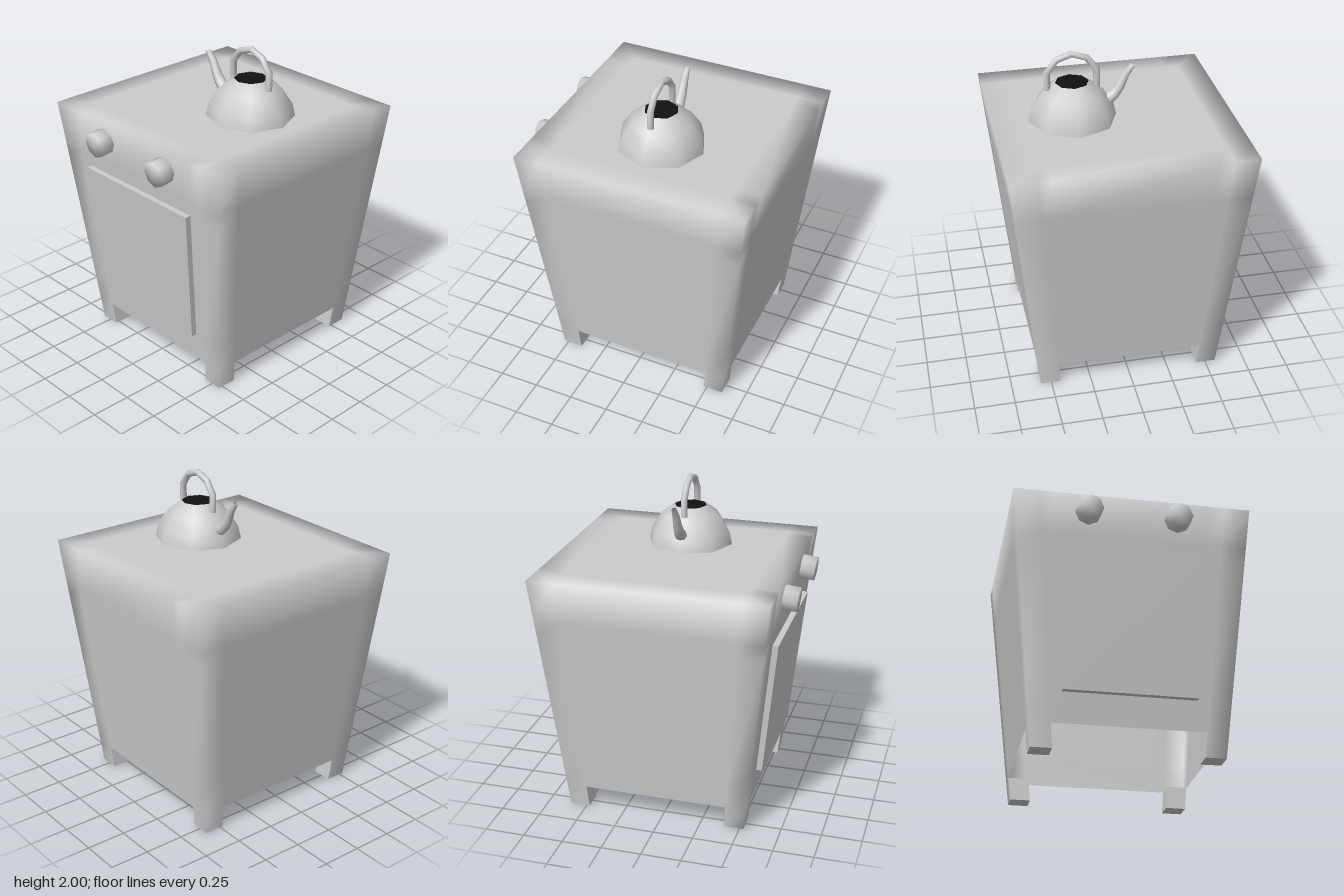
import * as THREE from 'three';
import { mergeVertices } from 'three/addons/utils/BufferGeometryUtils.js';

const grey = new THREE.MeshStandardMaterial({ color: 0xcccccc, side: THREE.DoubleSide });
const dark = new THREE.MeshStandardMaterial({ color: 0x111111, side: THREE.DoubleSide });
const CZ = -0.04;                 // depth centre of the stove
const TOP = 1.56, BELLY = 0.145;  // stove top and underside heights
const LEG = 0.78, DOOR = 0.66;    // fractions of the half width

// point on the flared stove: u, v in -1..1, y in units
const half = (y) => 0.565 + 0.104 * y;
const flare = (u, y, v) => [u * half(y), y, v * half(y) + CZ];
// quarter turns about the vertical axis
const turn = (u, v, k) => { for (let i = 0; i < k; i++) [u, v] = [v, -u]; return [u, v]; };

function addQuad(out, a, b, c, d) {
  out.push(...a, ...b, ...c, ...a, ...c, ...d);
}

function toGeometry(positions, smooth) {
  let g = new THREE.BufferGeometry();
  g.setAttribute('position', new THREE.Float32BufferAttribute(positions, 3));
  if (smooth) g = mergeVertices(g, 1e-4);
  g.computeVertexNormals();
  return g;
}

function add(parent, name, geometry, material = grey) {
  const mesh = new THREE.Mesh(geometry, material);
  mesh.name = name;
  parent.add(mesh);
  return mesh;
}

// smooth shell: four walls, open between the legs and behind the door, plus the top
function bodyGeometry() {
  const out = [];
  const us = [-1, -LEG, -DOOR, DOOR, LEG, 1];
  const ys = [0, BELLY, 0.33, 1.205, 1.3, TOP];
  for (let i = 0; i < 5; i++) {
    for (let j = 0; j < 5; j++) {
      for (let k = 0; k < 4; k++) {
        if (j === 0 && i > 0 && i < 4) continue;
        if (k === 0 && i === 2 && j === 2) continue;
        const p = (s, y) => { const [u, v] = turn(s, 1, k); return flare(u, y, v); };
        addQuad(out, p(us[i], ys[j]), p(us[i + 1], ys[j]), p(us[i + 1], ys[j + 1]), p(us[i], ys[j + 1]));
      }
      const t = (u, v) => flare(u, TOP, v);
      addQuad(out, t(us[i], us[j + 1]), t(us[i + 1], us[j + 1]), t(us[i + 1], us[j]), t(us[i], us[j]));
    }
  }
  return toGeometry(out, true);
}

// inner faces and foot of one leg
function legGeometry(k) {
  const out = [];
  const p = (s, y, t) => { const [u, v] = turn(s, t, k); return flare(u, y, v); };
  addQuad(out, p(LEG, 0, LEG), p(LEG, 0, 1), p(LEG, BELLY, 1), p(LEG, BELLY, LEG));
  addQuad(out, p(1, 0, LEG), p(LEG, 0, LEG), p(LEG, BELLY, LEG), p(1, BELLY, LEG));
  addQuad(out, p(LEG, 0, LEG), p(1, 0, LEG), p(1, 0, 1), p(LEG, 0, 1));
  return toGeometry(out, false);
}

// slab that follows the slope of the front wall
function doorGeometry() {
  const g = new THREE.BoxGeometry(2, 1, 1);
  const pos = g.attributes.position;
  for (let i = 0; i < pos.count; i++) {
    const y = 0.33 + (pos.getY(i) + 0.5) * 0.875;
    const [x, , z] = flare(pos.getX(i) * DOOR, y, 1);
    pos.setXYZ(i, x, y, z + (pos.getZ(i) + 0.5) * 0.036);
  }
  g.computeVertexNormals();
  return g;
}

// tube along a bent path in the xy plane; each point is [x, y, radius]
function bentTube(path, sides) {
  const pts = path.map(([x, y]) => new THREE.Vector2(x, y));
  const rings = path.map(([x, y, r], i) => {
    const a = pts[Math.max(i - 1, 0)], b = pts[Math.min(i + 1, pts.length - 1)];
    const d = b.clone().sub(a).normalize();
    return Array.from({ length: sides }, (_, s) => {
      const t = (s / sides) * Math.PI * 2, n = Math.cos(t) * r;
      return [x - d.y * n, y + d.x * n, Math.sin(t) * r];
    });
  });
  const out = [];
  for (let i = 0; i < rings.length - 1; i++) {
    for (let s = 0; s < sides; s++) {
      const n = (s + 1) % sides;
      addQuad(out, rings[i][s], rings[i][n], rings[i + 1][n], rings[i + 1][s]);
    }
  }
  return toGeometry(out, true);
}

export function createModel() {
  const model = new THREE.Group();

  // stove
  const stove = new THREE.Group();
  stove.name = 'stove';
  model.add(stove);
  add(stove, 'stoveBody', bodyGeometry());
  ['frontLeftLeg', 'backLeftLeg', 'backRightLeg', 'frontRightLeg'].forEach((name, k) => add(stove, name, legGeometry(k)));
  add(stove, 'ovenDoor', doorGeometry());

  // eight-sided knobs square to the sloping front
  for (const side of [-1, 1]) {
    let g = new THREE.CylinderGeometry(0.08, 0.08, 0.1, 8);
    g.deleteAttribute('uv');
    g.deleteAttribute('normal');
    g = mergeVertices(g, 1e-4);
    g.computeVertexNormals();
    const knob = add(stove, side > 0 ? 'leftKnob' : 'rightKnob', g);
    knob.position.set(side * 0.272, 1.441, 0.714);
    knob.rotation.x = Math.PI / 2 + 0.104;
  }

  // kettle
  const kettle = new THREE.Group();
  kettle.name = 'kettle';
  kettle.position.set(0.237, TOP, CZ);
  model.add(kettle);
  const profile = [[0.27, 0], [0.252, 0.08], [0.19, 0.175], [0.103, 0.24]].map(([r, y]) => new THREE.Vector2(r, y));
  add(kettle, 'kettleBody', new THREE.LatheGeometry(profile, 8));
  const opening = add(kettle, 'kettleOpening', new THREE.CircleGeometry(0.103, 8), dark);
  opening.rotation.x = -Math.PI / 2;
  opening.position.y = 0.237;

  // handle arch
  const arch = [[0.15, 0.2], [0.15, 0.31], [0.092, 0.387]];
  const handle = [...arch.map(([x, y]) => [-x, y, 0.021]), [0, 0.419, 0.021],
    ...arch.reverse().map(([x, y]) => [x, y, 0.021])];
  add(kettle, 'kettleHandle', bentTube(handle, 8));

  // tapering spout
  add(kettle, 'kettleSpout', bentTube([
    [-0.2, 0.09, 0.04], [-0.255, 0.13, 0.035], [-0.293, 0.18, 0.03],
    [-0.33, 0.26, 0.024], [-0.374, 0.315, 0.016],
  ], 8));

  return model;
}
